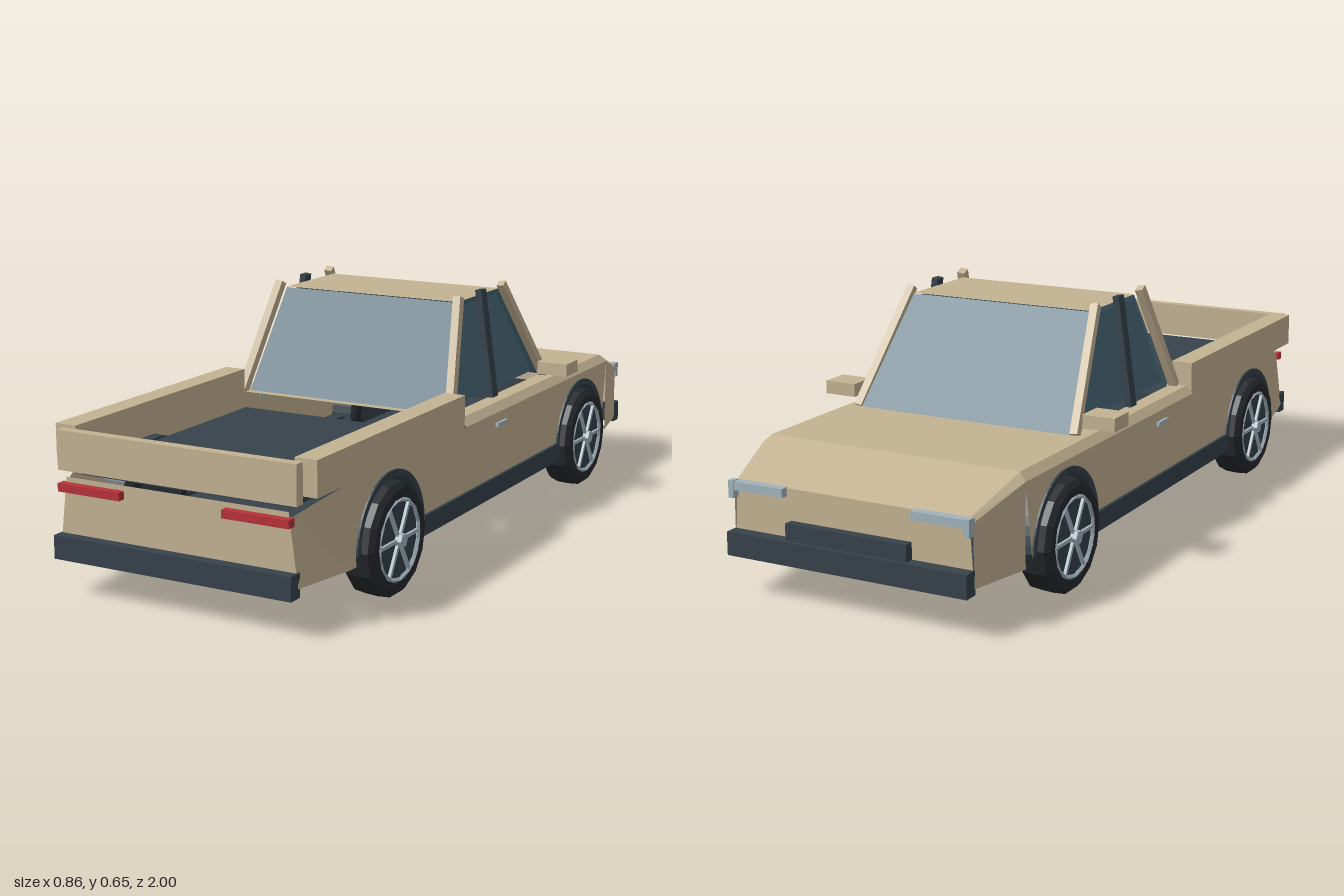
import * as THREE from 'three';

const mat = (color) => new THREE.MeshStandardMaterial({ color, flatShading: true, side: THREE.DoubleSide });
const paint = mat(0xc4b393), dark = mat(0x37424b), rubber = mat(0x25282d);
const glass = mat(0x4a6b7a), red = mat(0xb8323a), metal = mat(0xa3b3bc);

export function createModel() {
  const model = new THREE.Group();

  function add(name, geometry, material, parent = model) {
    const mesh = new THREE.Mesh(geometry, material);
    mesh.name = name;
    parent.add(mesh);
    return mesh;
  }

  // Box given by its extents on each axis
  function box(name, material, [x0, x1], [y0, y1], [z0, z1]) {
    const mesh = add(name, new THREE.BoxGeometry(Math.abs(x1 - x0), y1 - y0, Math.abs(z1 - z0)), material);
    mesh.position.set((x0 + x1) / 2, (y0 + y1) / 2, (z0 + z1) / 2);
    return mesh;
  }

  // Flat convex panel from its corners
  function panel(name, material, ...corners) {
    const points = [];
    for (let i = 1; i < corners.length - 1; i++) points.push(...corners[0], ...corners[i], ...corners[i + 1]);
    const geometry = new THREE.BufferGeometry();
    geometry.setAttribute('position', new THREE.Float32BufferAttribute(points, 3));
    geometry.computeVertexNormals();
    return add(name, geometry, material);
  }

  // Panel symmetric about x = 0, from a lower and an upper edge [halfWidth, y, z]
  function crossPanel(name, material, [w0, y0, z0], [w1, y1, z1]) {
    panel(name, material, [-w0, y0, z0], [w0, y0, z0], [w1, y1, z1], [-w1, y1, z1]);
  }

  // Square bar between two points
  function bar(name, material, from, to, width, depth) {
    const a = new THREE.Vector3(...from), b = new THREE.Vector3(...to);
    const mesh = add(name, new THREE.BoxGeometry(width, a.distanceTo(b), depth), material);
    mesh.position.copy(a).add(b).multiplyScalar(0.5);
    mesh.quaternion.setFromUnitVectors(new THREE.Vector3(0, 1, 0), b.sub(a).normalize());
  }

  const axles = [0.595, -0.585], axleY = 0.145, archR = 0.172;

  // Chassis, bed floor and bumpers
  box('chassis', dark, [-0.3, 0.3], [0.105, 0.13], [-0.97, 0.92]);
  box('bedFloor', dark, [-0.3, 0.3], [0.298, 0.315], [0.19, 0.93]);
  box('tailBumper', dark, [-0.337, 0.337], [0.097, 0.157], [0.96, 1]);
  box('noseBumper', dark, [-0.337, 0.337], [0.105, 0.165], [-1, -0.96]);
  box('grille', dark, [-0.17, 0.17], [0.165, 0.208], [-0.99, -0.96]);

  // Tail panel and tailgate
  crossPanel('tailPanel', paint, [0.338, 0.12, 0.97], [0.315, 0.3, 0.97]);
  box('tailgate', paint, [-0.338, 0.338], [0.315, 0.415], [0.945, 0.973]);

  // Hood, nose and the deck behind the cab
  crossPanel('hood', paint, [0.355, 0.355, -0.43], [0.355, 0.355, -0.78]);
  crossPanel('hoodSlope', paint, [0.355, 0.355, -0.78], [0.325, 0.288, -0.965]);
  crossPanel('nose', paint, [0.337, 0.12, -0.965], [0.325, 0.288, -0.965]);
  crossPanel('cabDeck', paint, [0.31, 0.355, 0.15], [0.31, 0.355, 0.175]);

  // Roof, windshield and back window
  crossPanel('roof', paint, [0.267, 0.632, 0.02], [0.267, 0.632, -0.24]);
  crossPanel('windshield', glass, [0.31, 0.355, -0.44], [0.267, 0.63, -0.24]);
  crossPanel('backWindow', glass, [0.31, 0.355, 0.15], [0.267, 0.63, 0.02]);

  // Side panel outline (z, y) with the two wheel arches cut out
  const outline = new THREE.Shape();
  const archStart = Math.asin((0.12 - axleY) / archR);
  outline.moveTo(-0.79, 0.12);
  for (const z of [...axles].reverse()) outline.absarc(z, axleY, archR, Math.PI - archStart, archStart, true);
  outline.lineTo(0.79, 0.12);
  outline.lineTo(0.79, 0.335);
  outline.lineTo(-0.79, 0.335);
  outline.closePath();
  const sideGeometry = new THREE.ShapeGeometry(outline, 12);

  // Half-ring trim for the arches
  const ring = new THREE.Shape();
  ring.absarc(0, 0, archR, 0, Math.PI, false);
  ring.absarc(0, 0, 0.156, Math.PI, 0, true);
  const trimGeometry = new THREE.ExtrudeGeometry(ring, { depth: 0.07, bevelEnabled: false, curveSegments: 12 });

  // Tyre profile turned about the axle
  const tyreProfile = [[0.1, -0.045], [0.13, -0.045], [0.143, -0.033], [0.145, 0], [0.143, 0.033], [0.13, 0.045], [0.108, 0.045], [0.105, 0.03]]
    .map(([r, h]) => new THREE.Vector2(r, h));
  const tyreGeometry = new THREE.LatheGeometry(tyreProfile, 14);
  const discGeometry = new THREE.CylinderGeometry(0.107, 0.107, 0.075, 14);
  const rimGeometry = new THREE.TorusGeometry(0.102, 0.006, 4, 14);
  const hubGeometry = new THREE.CylinderGeometry(0.018, 0.018, 0.02, 6);
  const spokeGeometry = new THREE.BoxGeometry(0.009, 0.008, 0.1);

  function wheel(name, s, z) {
    const group = new THREE.Group();
    group.name = name;
    add('tyre', tyreGeometry, rubber, group);
    add('wheelDisc', discGeometry, dark, group);
    const rim = add('rim', rimGeometry, metal, group);
    rim.rotation.x = Math.PI / 2;
    rim.position.y = 0.041;
    add('hub', hubGeometry, metal, group).position.y = 0.046;
    for (let i = 0; i < 6; i++) {
      const a = (i / 6) * Math.PI * 2;
      const spoke = add('spoke', spokeGeometry, metal, group);
      spoke.position.set(Math.sin(a) * 0.052, 0.041, Math.cos(a) * 0.052);
      spoke.rotation.y = a;
    }
    // Axle along x, hub outwards
    group.rotation.z = -s * Math.PI / 2;
    group.position.set(s * 0.357, axleY, z);
    model.add(group);
  }

  for (const s of [1, -1]) {
    const side = s > 0 ? 'left' : 'right';

    // Body side, with tapered corners at both ends
    const body = add(side + 'BodySide', sideGeometry, paint);
    body.rotation.y = -Math.PI / 2;
    body.position.x = s * 0.375;
    panel(side + 'TailCorner', paint, [s * 0.375, 0.12, 0.79], [s * 0.338, 0.12, 0.97], [s * 0.317, 0.285, 0.97], [s * 0.375, 0.335, 0.79]);
    panel(side + 'NoseCorner', paint, [s * 0.375, 0.12, -0.79], [s * 0.337, 0.12, -0.965], [s * 0.335, 0.278, -0.965], [s * 0.375, 0.335, -0.79]);

    // Shoulder bevel and the deck beside the cab
    panel(side + 'Shoulder', paint, [s * 0.375, 0.335, 0.18], [s * 0.375, 0.335, -0.79], [s * 0.355, 0.355, -0.78], [s * 0.355, 0.355, 0.18]);
    panel(side + 'NoseShoulder', paint, [s * 0.375, 0.335, -0.79], [s * 0.335, 0.278, -0.965], [s * 0.325, 0.288, -0.965], [s * 0.355, 0.355, -0.78]);
    panel(side + 'CabSill', paint, [s * 0.31, 0.355, 0.18], [s * 0.355, 0.355, 0.18], [s * 0.355, 0.355, -0.44], [s * 0.31, 0.355, -0.44]);

    // Bed rail, rocker, door handle and mirror
    box(side + 'BedRail', paint, [s * 0.31, s * 0.37], [0.33, 0.42], [0.18, 0.935]);
    box(side + 'Rocker', dark, [s * 0.335, s * 0.383], [0.108, 0.16], [-0.42, 0.43]);
    box(side + 'DoorHandle', metal, [s * 0.372, s * 0.383], [0.297, 0.308], [-0.06, 0]);
    box(side + 'Mirror', paint, [s * 0.34, s * 0.43], [0.375, 0.41], [-0.43, -0.35]);

    // Roof pillars and side window
    bar(side + 'RearPillar', paint, [s * 0.322, 0.355, 0.17], [s * 0.277, 0.648, 0.035], 0.022, 0.024);
    bar(side + 'WindshieldPillar', paint, [s * 0.322, 0.355, -0.435], [s * 0.277, 0.648, -0.232], 0.022, 0.02);
    bar(side + 'MiddlePillar', dark, [s * 0.318, 0.355, -0.1], [s * 0.277, 0.65, -0.1], 0.018, 0.032);
    panel(side + 'SideWindow', glass, [s * 0.309, 0.375, 0.118], [s * 0.309, 0.375, -0.375], [s * 0.27, 0.62, -0.215], [s * 0.27, 0.62, 0.01]);

    // Lamps
    box(side + 'TailLamp', red, [s * 0.145, s * 0.327], [0.266, 0.287], [0.965, 0.99]);
    box(side + 'Headlamp', metal, [s * 0.18, s * 0.337], [0.268, 0.29], [-0.985, -0.96]);
    box(side + 'HeadlampCorner', metal, [s * 0.322, s * 0.337], [0.248, 0.292], [-0.987, -0.968]);

    // Arches and wheels
    axles.forEach((z, i) => {
      const end = i === 0 ? 'Tail' : 'Nose';
      const trim = add(side + end + 'ArchTrim', trimGeometry, dark);
      trim.rotation.y = Math.PI / 2;
      trim.position.set(s > 0 ? 0.31 : -0.38, axleY, z);
      wheel(side + end + 'Wheel', s, z);
    });
  }

  return model;
}
